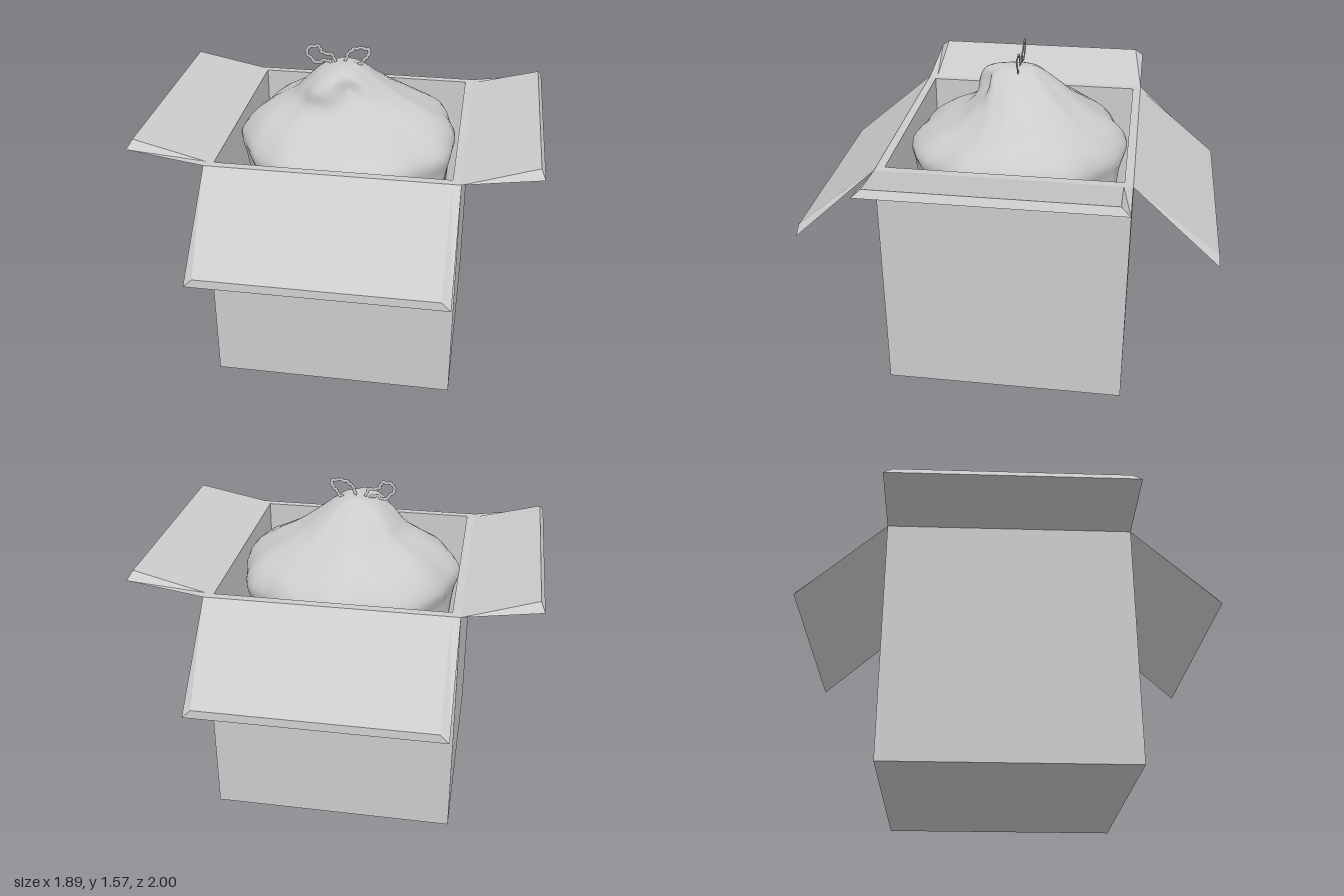
import * as THREE from 'three';

const grey = new THREE.MeshStandardMaterial({ color: 0xcccccc, side: THREE.DoubleSide });
const HALF = 0.587, INNER = 0.547, TOP = 1.183, FLOOR = 0.04;

function add(parent, name, geometry) {
  const mesh = new THREE.Mesh(geometry, grey);
  mesh.name = name;
  parent.add(mesh);
  return mesh;
}

// Wedge-shaped flap: hinge line at the origin, bevelled on its free edges
function flapGeometry(low, high) {
  const w = HALF, v = w - 0.042;
  const A = [-w, 0, 0], B = [w, 0, 0], C = [w, low.y, low.x], D = [-w, low.y, low.x];
  const E = [v, high.y, high.x], F = [-v, high.y, high.x], G = [v, 0, 0], H = [-v, 0, 0];
  const quads = [[A, B, C, D], [H, F, E, G], [D, C, E, F], [C, B, G, E], [A, D, F, H]];
  const position = quads.flatMap(([a, b, c, d]) => [a, b, c, a, c, d]).flat();
  const geometry = new THREE.BufferGeometry();
  geometry.setAttribute('position', new THREE.Float32BufferAttribute(position, 3));
  geometry.computeVertexNormals();
  return geometry;
}

// Sack cross-sections, top to bottom: height, then reach to -x, +x, +z, -z
const SECTIONS = [
  [1.492, 0, 0, 0, 0],
  [1.488, 0.06, 0.02, 0.08, 0.06],
  [1.46, 0.14, 0.08, 0.17, 0.11],
  [1.40, 0.21, 0.16, 0.20, 0.19],
  [1.33, 0.28, 0.26, 0.22, 0.28],
  [1.26, 0.40, 0.39, 0.29, 0.38],
  [1.19, 0.48, 0.49, 0.44, 0.48],
  [1.11, 0.53, 0.53, 0.53, 0.53],
  [1.00, 0.51, 0.51, 0.51, 0.51],
  [0.70, 0.49, 0.49, 0.49, 0.49],
  [0.15, 0.45, 0.45, 0.45, 0.45],
  [FLOOR, 0.36, 0.36, 0.36, 0.36],
  [FLOOR, 0, 0, 0, 0],
];

function sackGeometry() {
  const around = 56, down = 60, position = [], index = [];
  for (let i = 0; i < around; i++) {
    const a = (i / around) * Math.PI * 2, c = Math.cos(a), s = Math.sin(a);
    const path = SECTIONS.map(([y, xl, xr, zf, zb]) => {
      const shoulder = Math.exp(-(((y - 1.41) / 0.07) ** 2));
      // Folds around the belly and a deep crease beside the front bulge
      const folds = 1 + 0.018 * Math.sin(7 * a + 5 * y) + 0.014 * Math.sin(12 * a - 9 * y);
      const crease = 1 - 0.28 * shoulder * Math.exp(-(((a - 1.2) / 0.3) ** 2));
      const bulge = 1 + 0.15 * shoulder * Math.exp(-(((a - 2.2) / 0.4) ** 2));
      const r = folds * crease * bulge;
      const neck = -0.03 * THREE.MathUtils.smoothstep(y, 1.2, 1.45);
      return new THREE.Vector3(
        neck + c * (c < 0 ? xl + neck : xr - neck) * r, y, s * (s > 0 ? zf : zb) * r);
    });
    const curve = new THREE.CatmullRomCurve3(path);
    for (let j = 0; j <= down; j++) {
      const p = curve.getPoint(j / down);
      position.push(p.x, p.y, p.z);
      if (j === down) continue;
      const here = i * (down + 1) + j, next = ((i + 1) % around) * (down + 1) + j;
      index.push(here, next, next + 1, here, next + 1, here + 1);
    }
  }
  const geometry = new THREE.BufferGeometry();
  geometry.setAttribute('position', new THREE.Float32BufferAttribute(position, 3));
  geometry.setIndex(index);
  geometry.computeVertexNormals();
  return geometry;
}

// Crinkled loop of flattened cord
function addLoop(parent, name, points) {
  const curve = new THREE.CatmullRomCurve3(
    points.map(([x, y]) => new THREE.Vector3(x, y, 0)), true, 'catmullrom', 0.35);
  const crinkled = curve.getPoints(48).slice(0, 48).map((p, i) =>
    p.add(new THREE.Vector3(0.004 * Math.sin(i * 2.1), 0.004 * Math.cos(i * 1.7), 0)));
  const geometry = new THREE.TubeGeometry(
    new THREE.CatmullRomCurve3(crinkled, true), 96, 0.008, 6, true);
  add(parent, name, geometry).scale.z = 0.45;
}

export function createModel() {
  const model = new THREE.Group();
  model.name = 'openBoxWithSack';

  // Carton
  const square = (h) => [[-h, -h], [h, -h], [h, h], [-h, h]].map(([x, y]) => new THREE.Vector2(x, y));
  const outline = new THREE.Shape(square(HALF));
  outline.holes.push(new THREE.Path(square(INNER)));
  const walls = new THREE.ExtrudeGeometry(outline, { depth: TOP, bevelEnabled: false });
  add(model, 'boxWalls', walls.rotateX(-Math.PI / 2));
  const floor = new THREE.BoxGeometry(INNER * 2, FLOOR, INNER * 2);
  add(model, 'boxFloor', floor.translate(0, FLOOR / 2, 0));

  // Front and back flaps hang down, side flaps tilt up
  const hanging = flapGeometry(new THREE.Vector2(0.413, -0.383), new THREE.Vector2(0.41, -0.343));
  const raised = flapGeometry(new THREE.Vector2(0.36, 0.053), new THREE.Vector2(0.34, 0.088));
  ['frontFlap', 'leftFlap', 'backFlap', 'rightFlap'].forEach((name, k) => {
    const flap = add(model, name, k % 2 ? raised : hanging);
    const angle = k * Math.PI / 2;
    flap.rotation.y = angle;
    flap.position.set(Math.sin(angle) * HALF, TOP, Math.cos(angle) * HALF);
  });

  // Sack and its tie
  add(model, 'sack', sackGeometry());
  const bow = new THREE.Group();
  bow.name = 'bow';
  model.add(bow);
  addLoop(bow, 'rightLoop', [[-0.075, 1.475], [-0.12, 1.49], [-0.165, 1.475], [-0.21, 1.52],
    [-0.205, 1.552], [-0.155, 1.56], [-0.135, 1.53], [-0.085, 1.52]]);
  addLoop(bow, 'leftLoop', [[-0.02, 1.48], [-0.012, 1.53], [0.025, 1.558], [0.088, 1.558],
    [0.095, 1.53], [0.07, 1.51], [0.05, 1.478], [0.01, 1.478]]);
  return model;
}
